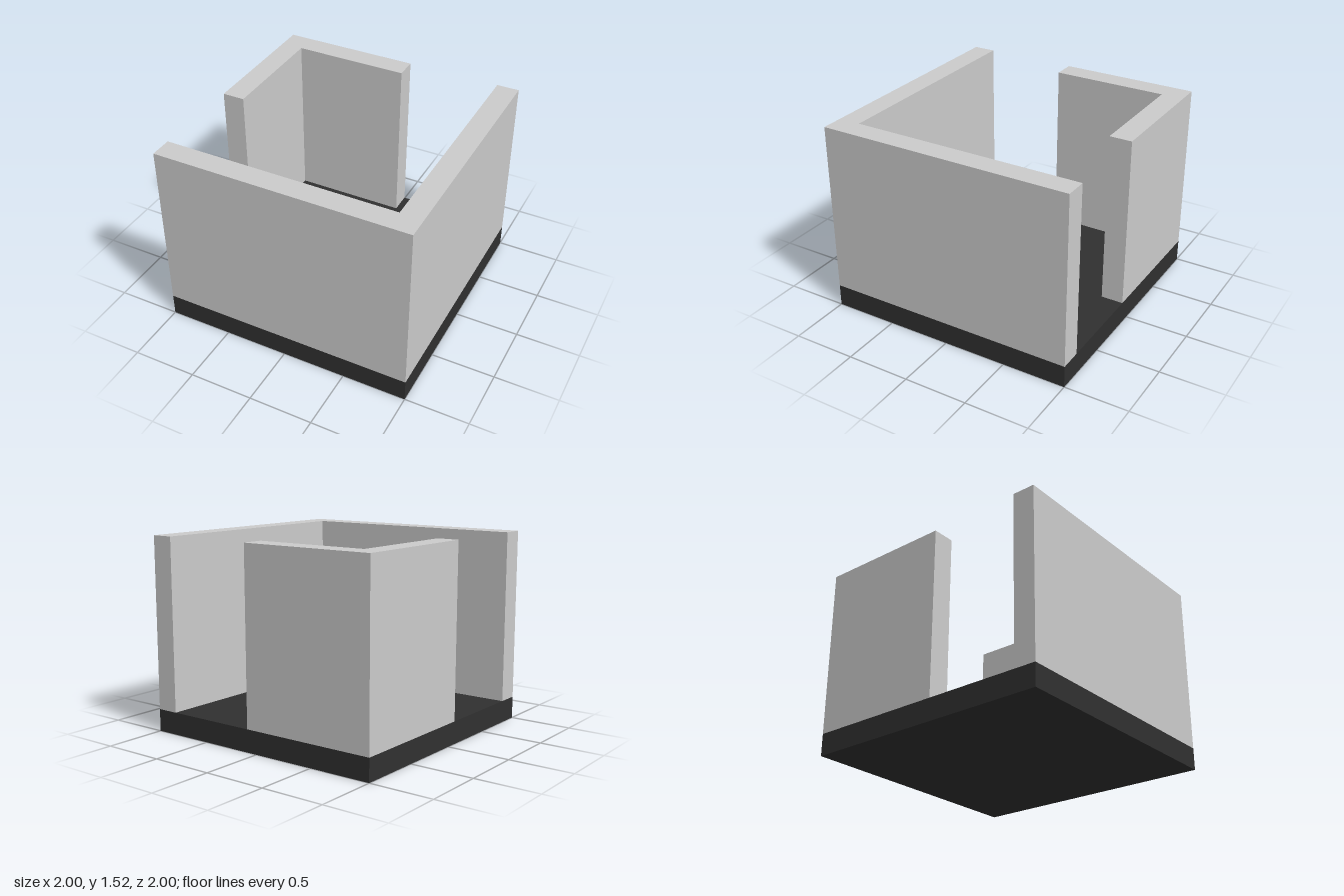
import * as THREE from 'three';

const BASE_H = 0.175, TOP = 1.525, T = 0.175;

// L-shaped wall rising from the floor: legs run from the corner (cx, cz) for the given length
function cornerWall(name, cx, cz, length, material) {
  const sx = -Math.sign(cx), sz = -Math.sign(cz);
  const plan = [[0, 0], [length, 0], [length, T], [T, T], [T, length], [0, length]];
  const shape = new THREE.Shape(
    plan.map(([a, b]) => new THREE.Vector2(cx + sx * a, -(cz + sz * b)))
  );
  const geometry = new THREE.ExtrudeGeometry(shape, { depth: TOP - BASE_H, bevelEnabled: false });
  geometry.rotateX(-Math.PI / 2);
  geometry.translate(0, BASE_H, 0);
  const mesh = new THREE.Mesh(geometry, material);
  mesh.name = name;
  return mesh;
}

export function createModel() {
  const group = new THREE.Group();
  group.name = 'walledRoom';
  const wallMaterial = new THREE.MeshStandardMaterial({ color: 0xcccccc });
  const floorMaterial = new THREE.MeshStandardMaterial({ color: 0x303030 });

  // Dark floor slab
  const floor = new THREE.Mesh(new THREE.BoxGeometry(2, BASE_H, 2), floorMaterial);
  floor.name = 'floor';
  floor.position.y = BASE_H / 2;
  group.add(floor);

  // Full-length walls on the front and left, short corner wall at the back right
  group.add(cornerWall('longCornerWall', 1, 1, 2, wallMaterial));
  group.add(cornerWall('shortCornerWall', -1, -1, 1.085, wallMaterial));
  return group;
}
